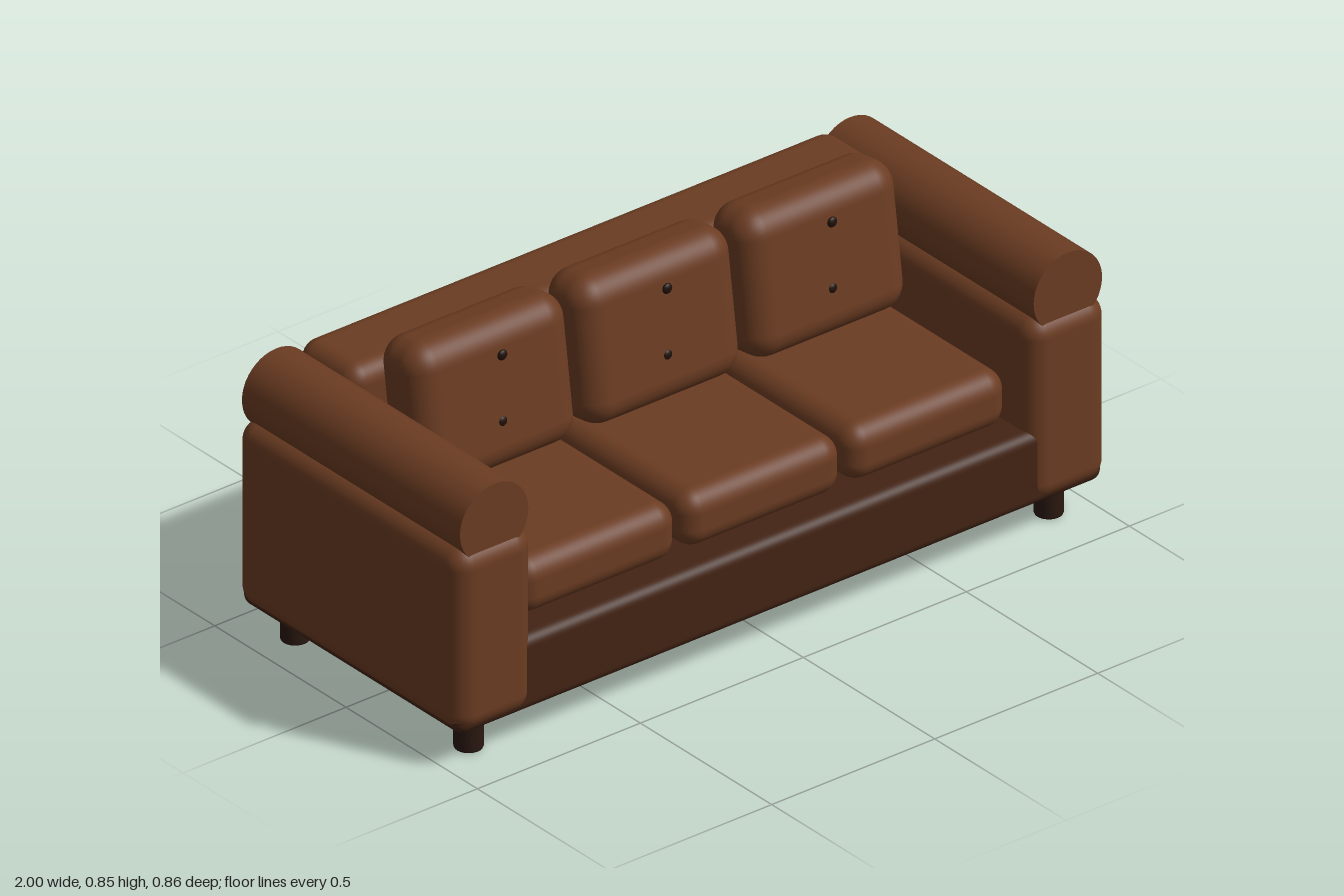
import * as THREE from 'three';
import { RoundedBoxGeometry } from 'three/addons/geometries/RoundedBoxGeometry.js';

const leather = new THREE.MeshStandardMaterial({ color: 0x6b3c22 });
const darkLeather = new THREE.MeshStandardMaterial({ color: 0x432414 });
const darkWood = new THREE.MeshStandardMaterial({ color: 0x2a1810 });
const buttonMaterial = new THREE.MeshStandardMaterial({ color: 0x1f1009 });

function add(parent, name, geometry, material, x, y, z) {
  const mesh = new THREE.Mesh(geometry, material);
  mesh.name = name;
  mesh.position.set(x, y, z);
  parent.add(mesh);
  return mesh;
}

// Rounded box given by its size and corner radius
const pad = (w, h, d, r) => new RoundedBoxGeometry(w, h, d, 5, r);

export function createModel() {
  const sofa = new THREE.Group();
  sofa.name = 'sofa';

  // Plinth and backrest
  add(sofa, 'base', pad(1.98, 0.205, 0.84, 0.03), darkLeather, 0, 0.1975, 0);
  add(sofa, 'backrest', pad(1.64, 0.485, 0.225, 0.05), leather, 0, 0.5215, -0.31);

  // Foot profile with softened rims
  const legGeometry = new THREE.LatheGeometry([
    [0, 0], [0.031, 0], [0.035, 0.002], [0.037, 0.007],
    [0.037, 0.09], [0.035, 0.096], [0.031, 0.1], [0, 0.1],
  ].map(([r, y]) => new THREE.Vector2(r, y)), 24);

  // Armrests with a flat-ended roll on top, and feet
  const armGeometry = pad(0.24, 0.508, 0.86, 0.055);
  const rollGeometry = new THREE.CylinderGeometry(0.105, 0.105, 0.83, 40).rotateX(Math.PI / 2);
  for (const [side, s] of [['left', 1], ['right', -1]]) {
    add(sofa, side + 'Arm', armGeometry, leather, s * 0.88, 0.351, 0);
    add(sofa, side + 'ArmRoll', rollGeometry, leather, s * 0.88, 0.655, 0);
    for (const [end, z] of [['Front', 0.33], ['Back', -0.33]]) {
      add(sofa, side + end + 'Leg', legGeometry, darkWood, s * 0.89, 0, z);
    }
  }

  // Three seat cushions and leaning back cushions with buttons
  const seatGeometry = pad(0.49, 0.155, 0.58, 0.055);
  const backGeometry = pad(0.485, 0.392, 0.175, 0.07);
  const buttonGeometry = new THREE.SphereGeometry(0.014, 16, 12).scale(1, 1, 0.55);
  for (const x of [-0.506, 0, 0.506]) {
    add(sofa, 'seatCushion', seatGeometry, leather, x, 0.379, 0.07);
    add(sofa, 'backCushion', backGeometry, leather, x, 0.653, -0.11).rotation.x = -0.14;
    for (const y of [0.785, 0.602]) {
      add(sofa, 'cushionButton', buttonGeometry, buttonMaterial, x, y, -0.018);
    }
  }

  return sofa;
}
